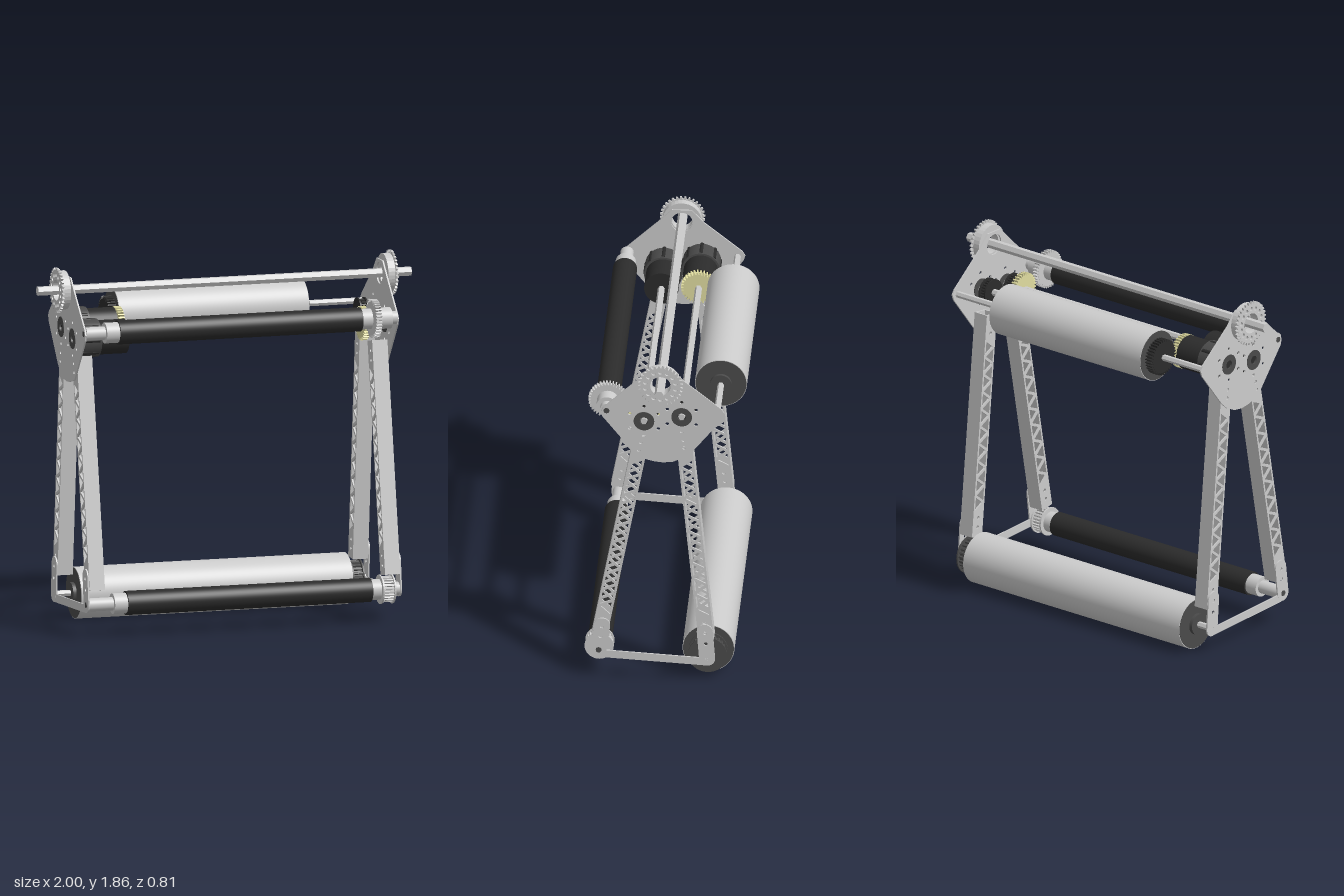
import * as THREE from 'three';

const GREY = 0xcccccc, DARK = 0x4a4a4a, BLACK = 0x2b2b2b, BRASS = 0xe0dca0;
const mats = {};
const mat = (c) => (mats[c] ??= new THREE.MeshStandardMaterial({ color: c }));

// Cylinder lying along x, from x0 to x1
function rod(parent, name, r, x0, x1, [z, y], color = GREY, seg = 40) {
  const geo = new THREE.CylinderGeometry(r, r, x1 - x0, seg).rotateZ(Math.PI / 2);
  const m = new THREE.Mesh(seg < 10 ? geo.toNonIndexed() : geo, mat(color));
  if (seg < 10) m.geometry.computeVertexNormals();
  m.position.set((x0 + x1) / 2, y, z);
  m.name = name;
  parent.add(m);
}

// Flat part drawn in (z, y) and given thickness along x
function sheet(parent, name, shape, x0, x1, color = GREY, [z, y] = [0, 0]) {
  const geo = new THREE.ExtrudeGeometry(shape, { depth: x1 - x0, bevelEnabled: false, curveSegments: 16 });
  geo.rotateY(-Math.PI / 2).translate(x1, y, z);
  const m = new THREE.Mesh(geo, mat(color));
  m.name = name;
  parent.add(m);
}

const poly = (pts) => new THREE.Shape(pts.map((p) => new THREE.Vector2(...p)));
const hole = (s, z, y, r) => s.holes.push(new THREE.Path().absarc(z, y, r, 0, Math.PI * 2, true));

function disc(r, bore) {
  const s = new THREE.Shape().absarc(0, 0, r, 0, Math.PI * 2, false);
  hole(s, 0, 0, bore);
  return s;
}

function gearShape(r, teeth, bore, depth = 0.013) {
  const pts = [];
  for (let i = 0; i < teeth; i++)
    [[0, r - depth], [0.3, r - depth], [0.45, r], [0.8, r]].forEach(([f, q]) => {
      const a = ((i + f) / teeth) * Math.PI * 2;
      pts.push([Math.cos(a) * q, Math.sin(a) * q]);
    });
  const s = poly(pts);
  hole(s, 0, 0, bore);
  return s;
}

function ringOfHoles(s, z, y, radius, n, r) {
  for (let i = 0; i < n; i++) {
    const a = ((i + 0.5) / n) * Math.PI * 2;
    hole(s, z + Math.cos(a) * radius, y + Math.sin(a) * radius, r);
  }
}

// Round-ended strap between two (z, y) points
function strap(a, b, w) {
  const t = Math.atan2(b[1] - a[1], b[0] - a[0]), h = Math.PI / 2;
  return new THREE.Shape().absarc(b[0], b[1], w / 2, t - h, t + h, false).absarc(a[0], a[1], w / 2, t + h, t + 3 * h, false);
}

// Toothed belt pulley with a flange at each end
function pulley(parent, name, r, x0, x1, at, color) {
  const g = new THREE.Group();
  g.name = name;
  sheet(g, 'pulleyTeeth', gearShape(r * 0.9, 24, 0.012, 0.008), x0, x1, color, at);
  for (const x of [x0, x1 - 0.008]) sheet(g, 'pulleyFlange', disc(r, 0.012), x, x + 0.008, color, at);
  parent.add(g);
}

// Box leg with triangular cut-outs in its two side walls
function leg(name, side, foot, head) {
  const g = new THREE.Group();
  g.name = name;
  const L = Math.hypot(head[0] - foot[0], head[1] - foot[1]), w = 0.08, t = 0.008;
  const wall = poly([[-w / 2, 0], [w / 2, 0], [w / 2, L], [-w / 2, L]]);
  const n = 19, u0 = 0.13, p = (L - 0.26) / (n + 1), v = w / 2 - 0.004;
  for (let i = 0; i < n; i++) {
    const s = i % 2 ? 1 : -1, u = u0 + i * p;
    const tri = [[s * v, u], [s * v, u + 2 * p], [-s * v, u + p]];
    const c = [(s * v) / 3, u + p];
    wall.holes.push(new THREE.Path(tri.map(([a, b]) => new THREE.Vector2(c[0] + (a - c[0]) * 0.74, c[1] + (b - c[1]) * 0.74))));
  }
  for (const u of [0.05, 0.1, L - 0.05, L - 0.1]) hole(wall, 0, u, 0.009);
  const xi = 0.75, xo = 0.832;
  for (const x of [xi, xo - t]) {
    const [a, b] = side > 0 ? [x, x + t] : [-x - t, -x];
    sheet(g, 'trussWall', wall, a, b);
  }
  for (const s of [-1, 1]) {
    const face = new THREE.Mesh(new THREE.BoxGeometry(xo - xi - 2 * t, L, t), mat(GREY));
    face.position.set((side * (xi + xo)) / 2, L / 2, s * (w / 2 - t / 2));
    face.name = 'solidWall';
    g.add(face);
  }
  g.position.set(0, foot[1], foot[0]);
  g.rotation.x = Math.atan2(head[0] - foot[0], head[1] - foot[1]);
  return g;
}

export function createModel() {
  const model = new THREE.Group();
  // Axle positions as [z, y]
  const topAxle = [0.01, 1.75], upFront = [0.29, 1.565], upBack = [-0.275, 1.56];
  const lowFront = [0.33, 0.167], lowBack = [-0.225, 0.134];
  const driveFront = [0.098, 1.51], driveBack = [-0.095, 1.54];

  // Side plates, legs, feet and top sprockets, on both sides
  for (const s of [-1, 1]) {
    const side = new THREE.Group();
    side.name = s > 0 ? 'leftFrame' : 'rightFrame';
    const put = (name, shape, a, b, color, at) => (s > 0 ? sheet(side, name, shape, a, b, color, at) : sheet(side, name, shape, -b, -a, color, at));

    const plate = poly([[0.13, 1.3], [0.31, 1.53], [0.318, 1.56], [0.305, 1.585], [0.125, 1.755], [0.06, 1.82], [-0.04, 1.82],
      [-0.105, 1.75], [-0.3, 1.59], [-0.315, 1.565], [-0.305, 1.535], [-0.15, 1.34], [-0.11, 1.305], [-0.05, 1.278], [0, 1.272], [0.05, 1.278]]);
    hole(plate, ...topAxle, 0.055);
    for (const d of [driveFront, driveBack]) {
      hole(plate, ...d, 0.053);
      ringOfHoles(plate, ...d, 0.085, 6, 0.009);
      put('driveBearing', disc(0.053, 0.022), 0.828, 0.842, DARK, d);
    }
    for (const [z, y] of [[0.125, 1.34], [0.115, 1.385], [-0.108, 1.36], [-0.104, 1.405]]) hole(plate, z, y, 0.009);
    put('sidePlate', plate, 0.832, 0.84);

    side.add(leg('frontLeg', s, [0.329, 0.24], [0.108, 1.42]), leg('backLeg', s, [-0.22, 0.24], [-0.103, 1.42]));
    const brackets = [['frontFootBracket', lowFront, [0.312, 0.31]], ['backFootBracket', lowBack, [-0.213, 0.29]]];
    for (const [name, a, b] of brackets) {
      const shape = strap(a, b, 0.082);
      hole(shape, ...a, 0.01);
      for (const f of [0.55, 0.95]) hole(shape, a[0] + (b[0] - a[0]) * f, a[1] + (b[1] - a[1]) * f, 0.01);
      put(name, shape, 0.832, 0.84);
    }
    put('footBar', strap([0.31, 0.145], [-0.215, 0.115], 0.042), 0.831, 0.839);

    const face = gearShape(0.116, 32, 0.053);
    ringOfHoles(face, 0, 0, 0.079, 14, 0.011);
    put('sprocketFace', face, 0.888, 0.9, GREY, topAxle);
    put('sprocketHub', disc(0.1, 0.053), 0.85, 0.888, GREY, topAxle);
    model.add(side);
  }
  rod(model, 'topShaft', 0.025, -1, 1, topAxle, GREY, 6);

  // Large grey rollers at the back
  for (const [name, at, x0, x1] of [['upperBackRoller', upBack, -0.51, 0.505], ['lowerBackRoller', lowBack, -0.73, 0.725]]) {
    rod(model, name, 0.133, x0, x1, at, GREY, 64);
    rod(model, name + 'Core', 0.13, x0 - 0.002, x1 + 0.002, at, DARK, 64);
    rod(model, name + 'Hub', 0.055, x0 - 0.02, x1 + 0.02, at, DARK);
    rod(model, name + 'Axle', 0.017, -0.838, 0.838, at, GREY, 6);
  }
  pulley(model, 'lowerBackPulley', 0.1, 0.735, 0.8, lowBack, DARK);

  // Slim black rollers at the front
  for (const [name, at, x0, x1] of [['upperFrontRoller', upFront, -0.66, 0.64], ['lowerFrontRoller', lowFront, -0.63, 0.68]]) {
    rod(model, name, 0.062, x0, x1, at, BLACK, 48);
    rod(model, name + 'Collar', 0.053, x0 - 0.07, x1 + 0.055, at);
    rod(model, name + 'Spacer', 0.034, -0.832, 0.832, at);
    rod(model, name + 'AxleBolt', 0.015, -0.842, 0.842, at, DARK, 16);
  }
  pulley(model, 'lowerFrontPulley', 0.075, 0.73, 0.8, lowFront, GREY);
  sheet(model, 'upperFrontRollerGear', gearShape(0.1, 36, 0.02), 0.7, 0.73, GREY, upFront);
  rod(model, 'upperFrontRollerEnd', 0.055, 0.73, 0.8, upFront);

  // Two motors with shafts across the frame
  for (const [name, at] of [['frontMotor', driveFront], ['backMotor', driveBack]]) {
    rod(model, name + 'Cap', 0.075, -0.832, -0.815, at, BLACK);
    rod(model, name + 'Gearbox', 0.098, -0.815, -0.71, at, DARK, 48);
    rod(model, name + 'Body', 0.088, -0.71, -0.56, at, BLACK, 48);
    for (let i = 0; i < 8; i++) {
      const a = (i / 8) * Math.PI * 2;
      rod(model, name + 'Rib', 0.012, -0.82, -0.72, [at[0] + Math.cos(a) * 0.09, at[1] + Math.sin(a) * 0.09], BLACK, 12);
    }
    rod(model, name + 'Shaft', 0.018, -0.57, 0.84, at, GREY, 6);
    pulley(model, name + 'Pulley', 0.068, 0.745, 0.79, at, BLACK);
  }

  // Gears from the motors to the upper rollers
  sheet(model, 'frontDriveGear', gearShape(0.088, 32, 0.014), 0.7, 0.73, BRASS, driveFront);
  sheet(model, 'backDriveGear', gearShape(0.09, 32, 0.014), -0.555, -0.522, BRASS, driveBack);
  sheet(model, 'upperBackRollerGear', gearShape(0.095, 34, 0.014), -0.555, -0.512, BLACK, upBack);
  return model;
}
